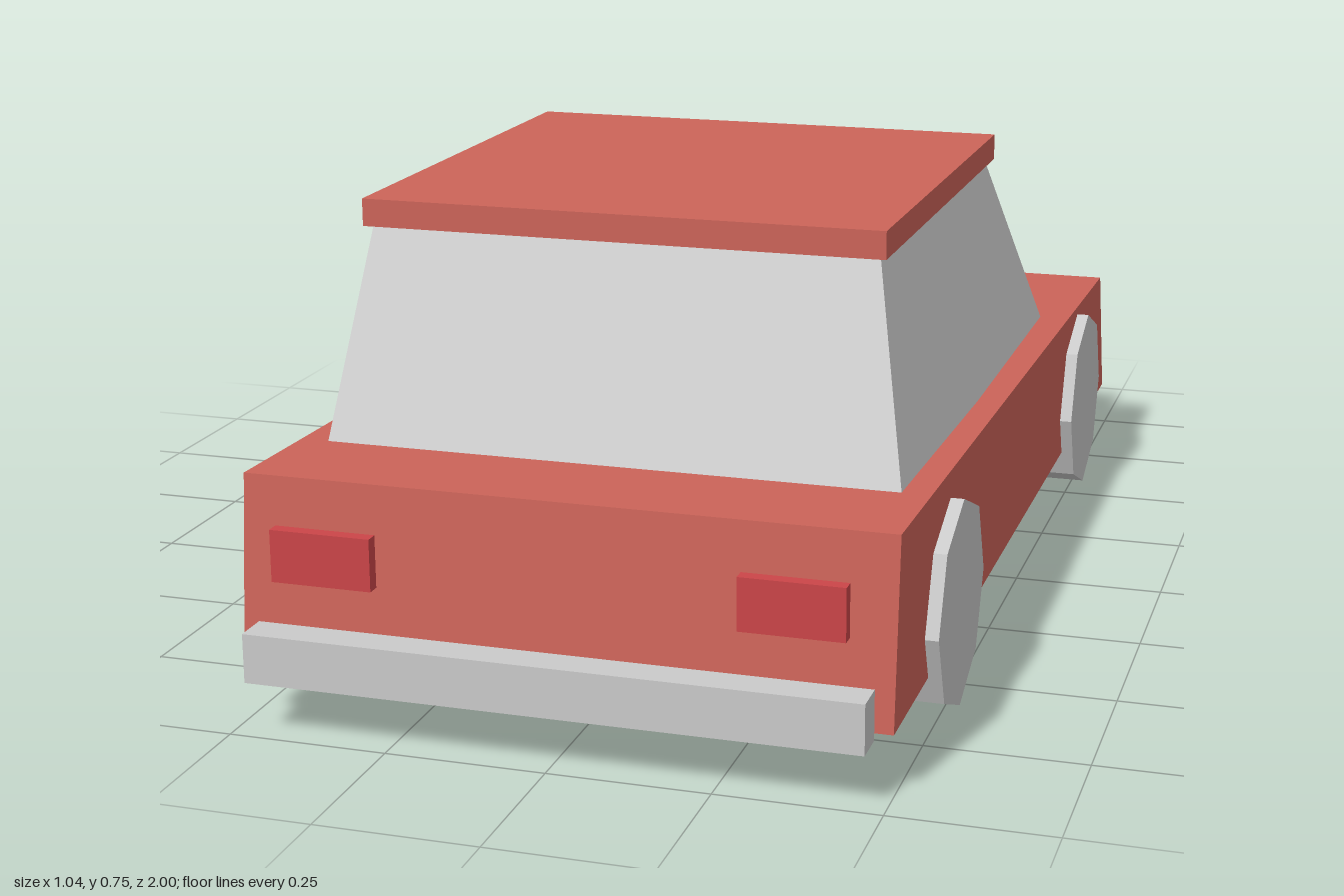
import * as THREE from 'three';

const mat = (name, color) => {
  const m = new THREE.MeshStandardMaterial({ color, flatShading: true });
  m.name = name;
  return m;
};

export function createModel() {
  const car = new THREE.Group();
  car.name = 'car';
  const paint = mat('red paint', 0xcc6459);
  const glass = mat('pale glass', 0xd8d8d8);
  const metal = mat('light grey', 0xcacaca);
  const tailRed = mat('tail light red', 0xcb4548);
  const lampCream = mat('headlight cream', 0xcdc8b0);

  const add = (name, geometry, material) => {
    const mesh = new THREE.Mesh(geometry, material);
    mesh.name = name;
    car.add(mesh);
    return mesh;
  };
  // Box given by its limits on each axis
  const block = (name, material, [x0, x1], [y0, y1], [z0, z1]) =>
    add(name, new THREE.BoxGeometry(x1 - x0, y1 - y0, z1 - z0), material)
      .position.set((x0 + x1) / 2, (y0 + y1) / 2, (z0 + z1) / 2);

  // Lower body: side profile (z, y) extruded across the width
  const profile = new THREE.Shape([
    [0.943, 0.097], [0.915, 0.384], [-0.862, 0.341], [-0.943, 0.097],
  ].map(([z, y]) => new THREE.Vector2(z, y)));
  const bodyGeo = new THREE.ExtrudeGeometry(profile, { depth: 1, bevelEnabled: false });
  bodyGeo.translate(0, 0, -0.5).rotateY(-Math.PI / 2);
  add('body', bodyGeo, paint);

  // Cabin: box tapered towards the roof
  const cabinGeo = new THREE.BoxGeometry(2, 2, 2);
  const p = cabinGeo.attributes.position;
  for (let i = 0; i < p.count; i++) {
    const top = p.getY(i) > 0, rear = p.getZ(i) > 0;
    const z = top ? (rear ? 0.64 : -0.13) : (rear ? 0.722 : -0.416);
    p.setXYZ(i, Math.sign(p.getX(i)) * (top ? 0.4 : 0.457), top ? 0.712 : 0.366, z);
  }
  cabinGeo.computeVertexNormals();
  add('cabinWindows', cabinGeo, glass);
  block('roof', paint, [-0.412, 0.412], [0.709, 0.752], [-0.155, 0.655]);

  // Bumpers
  block('rearBumper', metal, [-0.472, 0.472], [0.086, 0.163], [0.944, 1]);
  block('frontBumper', metal, [-0.472, 0.472], [0.086, 0.163], [-1, -0.944]);

  // Lights and eight-sided wheels, mirrored left and right
  const wheelGeo = new THREE.CylinderGeometry(0.166, 0.166, 0.152, 8).rotateZ(Math.PI / 2);
  for (const s of [-1, 1]) {
    const side = s > 0 ? 'Left' : 'Right';
    const span = (a, b) => (s > 0 ? [a, b] : [-b, -a]);
    block('tailLight' + side, tailRed, span(0.278, 0.436), [0.237, 0.318], [0.947, 0.968]);
    block('headlight' + side, lampCream, span(0.25, 0.436), [0.212, 0.298], [-0.968, -0.944]);
    add('rearWheel' + side, wheelGeo, metal).position.set(s * 0.445, 0.167, 0.584);
    add('frontWheel' + side, wheelGeo, metal).position.set(s * 0.445, 0.167, -0.583);
  }
  return car;
}
